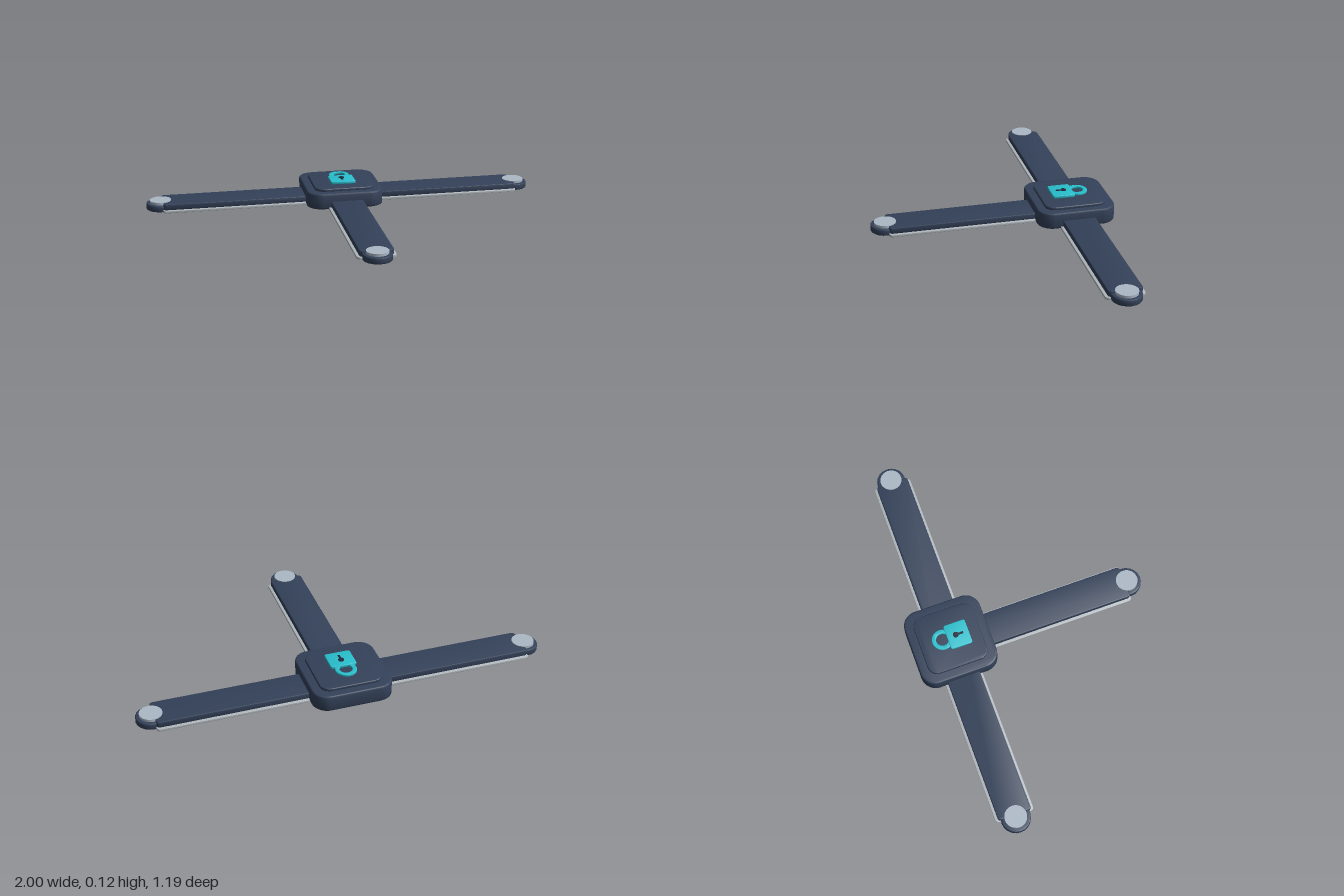
import * as THREE from 'three';
import { toCreasedNormals } from 'three/addons/utils/BufferGeometryUtils.js';

const material = (name, color) => {
  const m = new THREE.MeshStandardMaterial({ color });
  m.name = name;
  return m;
};

// Rounded rectangle outline, centred on the origin
function roundedRect(w, d, r) {
  const s = new THREE.Shape(), x = w / 2 - r, y = d / 2 - r;
  s.absarc(x, y, r, 0, Math.PI / 2);
  s.absarc(-x, y, r, Math.PI / 2, Math.PI);
  s.absarc(-x, -y, r, Math.PI, Math.PI * 1.5);
  s.absarc(x, -y, r, Math.PI * 1.5, Math.PI * 2);
  s.closePath();
  return s;
}

// Horizontal slab with softened edges, from y0 to y1; shape y points to -z
function slab(name, shape, y0, y1, bevel, mat) {
  let g = new THREE.ExtrudeGeometry(shape, {
    depth: y1 - y0 - 2 * bevel, curveSegments: 10, bevelEnabled: bevel > 0,
    bevelThickness: bevel, bevelSize: bevel, bevelOffset: -bevel, bevelSegments: 3,
  });
  g.rotateX(-Math.PI / 2);
  g.translate(0, y0 + bevel, 0);
  g = toCreasedNormals(g, 0.6);
  const mesh = new THREE.Mesh(g, mat);
  mesh.name = name;
  return mesh;
}

function disc(name, r, y0, y1, mat) {
  const mesh = new THREE.Mesh(new THREE.CylinderGeometry(r, r, y1 - y0, 40), mat);
  mesh.name = name;
  mesh.position.y = (y0 + y1) / 2;
  return mesh;
}

export function createModel() {
  const slate = material('slate', 0x334159);
  const steel = material('steel', 0xacb8c6);
  const backing = material('pale backing', 0xb2b9be);
  const teal = material('teal', 0x29c0ce);
  const ink = material('ink', 0x1e293b);

  const model = new THREE.Group();
  model.name = 'threeArmLock';
  const hubZ = -0.405;

  // Hub with a raised lid
  const hub = new THREE.Group();
  hub.name = 'hub';
  hub.position.z = hubZ;
  hub.add(
    slab('hubBody', roundedRect(0.39, 0.39, 0.075), 0.002, 0.083, 0.008, slate),
    slab('hubLid', roundedRect(0.305, 0.305, 0.05), 0.08, 0.096, 0.004, slate),
  );

  // Padlock emblem
  const lock = new THREE.Group();
  lock.name = 'padlock';
  lock.position.z = 0.04;
  const ring = new THREE.Shape().absarc(0, 0, 0.052, 0, Math.PI * 2);
  ring.holes.push(new THREE.Path().absarc(0, 0, 0.031, 0, Math.PI * 2, true));
  const shackle = slab('shackle', ring, 0.1, 0.111, 0.002, teal);
  shackle.position.z = -0.08;
  const body = slab('lockBody', roundedRect(0.126, 0.11, 0.01), 0.1, 0.114, 0.002, teal);
  const hole = disc('keyhole', 0.014, 0.112, 0.117, ink);
  hole.position.z = -0.011;
  const slot = new THREE.Mesh(new THREE.BoxGeometry(0.01, 0.004, 0.034), ink);
  slot.name = 'keyholeSlot';
  slot.position.set(0, 0.1145, 0.01);
  lock.add(shackle, body, hole, slot);
  hub.add(lock);
  model.add(hub);

  // Arms run from the hub centre along +x, then turn to their direction
  const arms = [['leftArm', 0], ['rightArm', Math.PI], ['frontArm', -Math.PI / 2]];
  for (const [name, angle] of arms) {
    const arm = new THREE.Group();
    arm.name = name;
    arm.position.z = hubZ;
    arm.rotation.y = angle;
    const length = 0.92;
    const strip = slab('strip', roundedRect(length - 0.005, 0.164, 0.015), 0.012, 0.042, 0.004, slate);
    const pad = slab('backingPad', roundedRect(length, 0.19, 0.015), 0.001, 0.013, 0.001, backing);
    strip.position.x = pad.position.x = length / 2;

    // Rounded end tab with a contact disc
    const tab = new THREE.Group();
    tab.name = 'endTab';
    tab.position.x = 0.928;
    const round = new THREE.Shape().absarc(0, 0, 0.072, 0, Math.PI * 2);
    tab.add(slab('tabBase', round, 0, 0.032, 0.005, slate), disc('contactDisc', 0.054, 0.03, 0.045, steel));
    arm.add(strip, pad, tab);
    model.add(arm);
  }
  return model;
}
